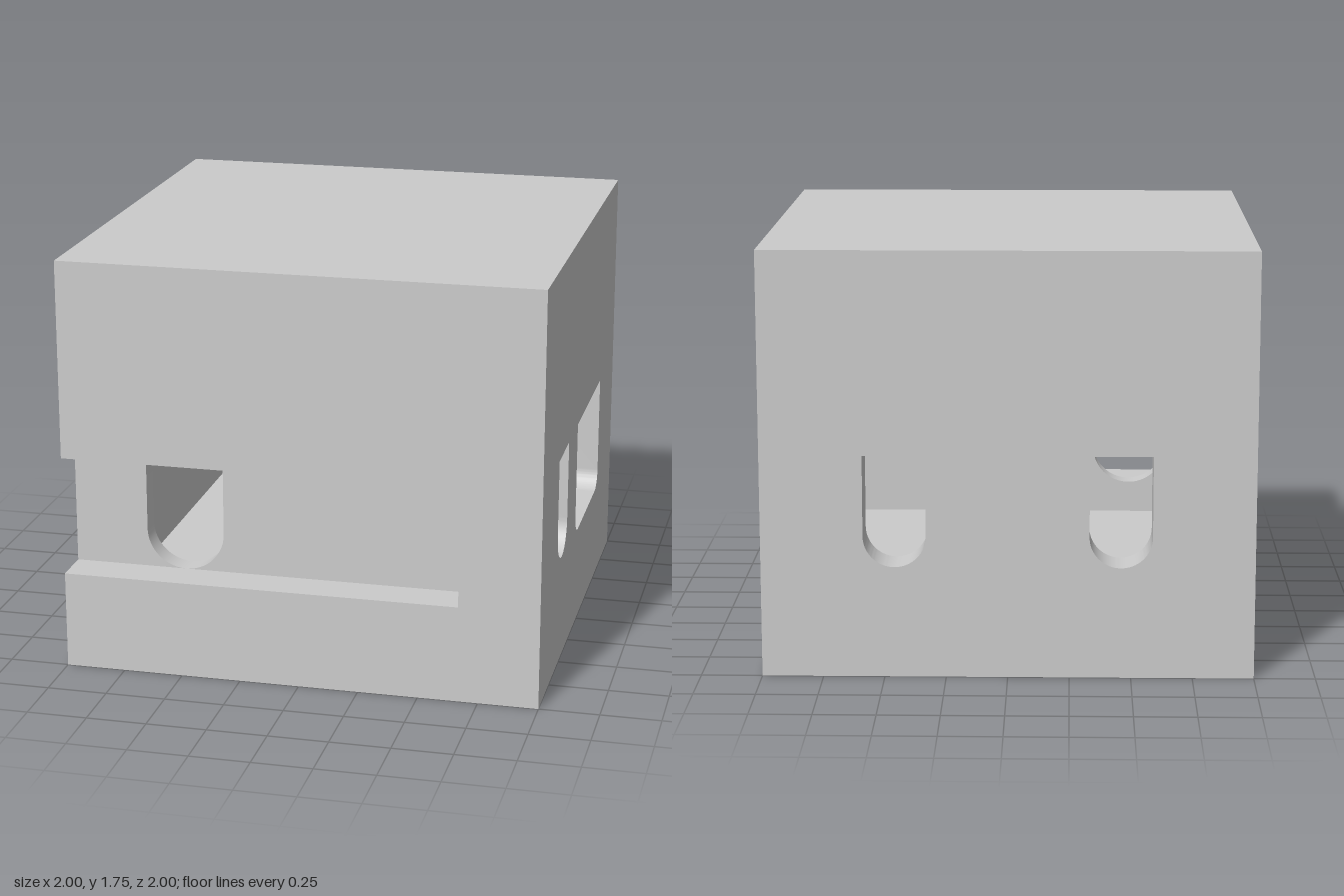
import * as THREE from 'three';
import { toCreasedNormals } from 'three/addons/utils/BufferGeometryUtils.js';

const grey = new THREE.MeshStandardMaterial({ color: 0xcccccc });
const greyBoth = new THREE.MeshStandardMaterial({ color: 0xcccccc, side: THREE.DoubleSide });

const H = 1.75;        // overall height
const INNER = 0.83;    // inside of the back and side walls
const FRONT_IN = 0.74; // inside of the thicker front wall
const FLOOR = 0.27, CEILING = 1.6;
const HEAD = 0.92;     // flat top of the openings

const pts = (list) => list.map(([u, v]) => new THREE.Vector2(u, v));
const rect = (u0, v0, u1, v1) => pts([[u0, v0], [u1, v0], [u1, v1], [u0, v1]]);

// Opening with a flat head and rounded lower corners (a slot when r is half the width)
function opening(u0, u1, bottom, top, r) {
  const s = new THREE.Shape();
  s.moveTo(u0, top);
  s.lineTo(u0, bottom + r);
  s.absarc(u0 + r, bottom + r, r, Math.PI, Math.PI * 1.5, false);
  s.lineTo(u1 - r, bottom);
  s.absarc(u1 - r, bottom + r, r, Math.PI * 1.5, Math.PI * 2, false);
  s.lineTo(u1, top);
  const p = s.getPoints(12);
  return p.filter((q, i) => i === 0 || q.distanceTo(p[i - 1]) > 1e-5);
}
const slot = (u0, u1) => opening(u0, u1, 0.46, HEAD, (u1 - u0) / 2);

function add(group, name, geometry, material) {
  const mesh = new THREE.Mesh(geometry, material);
  mesh.name = name;
  group.add(mesh);
}

// Flat panel at distance n along the wall's outward axis
function panel(group, name, outline, holes, n, inward = false) {
  const shape = new THREE.Shape(outline);
  for (const h of holes) shape.holes.push(new THREE.Path(h));
  const g = new THREE.ShapeGeometry(shape);
  g.translate(0, 0, n);
  if (inward) {
    g.index.array.reverse();
    g.computeVertexNormals();
  }
  add(group, name, g, grey);
}

// Strip along an outline joining two depths
function reveal(group, name, line, n0, n1, closed = true) {
  const pos = [];
  const count = closed ? line.length : line.length - 1;
  for (let i = 0; i < count; i++) {
    const a = line[i], b = line[(i + 1) % line.length];
    pos.push(a.x, a.y, n0, a.x, a.y, n1, b.x, b.y, n1);
    pos.push(a.x, a.y, n0, b.x, b.y, n1, b.x, b.y, n0);
  }
  const g = new THREE.BufferGeometry();
  g.setAttribute('position', new THREE.Float32BufferAttribute(pos, 3));
  add(group, name, toCreasedNormals(g, Math.PI / 6), greyBoth);
}

export function createModel() {
  const model = new THREE.Group();
  model.name = 'hollowBox';
  const wall = (name, rx, ry) => {
    const g = new THREE.Group();
    g.name = name;
    g.rotation.set(rx, ry, 0);
    model.add(g);
    return g;
  };
  const Q = Math.PI / 2;

  // Front wall with a stepped channel running out of one side
  const front = wall('frontWall', 0, 0);
  const channel = pts([[-1, 0.41], [0.665, 0.41], [0.665, 0.66],
    [0.145, 0.66], [-0.28, 0.915], [-1, 0.915]]);
  const frontHole = opening(-0.69, -0.36, 0.41, 0.915, 0.165);
  panel(front, 'frontFace',
    [...pts([[-1, 0], [1, 0], [1, H], [-1, H]]), ...channel.slice().reverse()], [], 1);
  reveal(front, 'channelSides', channel, 1, INNER, false);
  panel(front, 'channelBack', channel, [frontHole], INNER);
  reveal(front, 'frontOpening', frontHole, INNER, FRONT_IN);
  panel(front, 'frontInside', rect(-INNER, FLOOR, INNER, CEILING), [frontHole], FRONT_IN, true);

  // Back and side walls: outer outline, inner extent and openings
  const full = rect(-1, 0, 1, H);
  const notched = pts([[-1, 0], [1, 0], [1, 0.41], [INNER, 0.41],
    [INNER, 0.915], [1, 0.915], [1, H], [-1, H]]);
  const slotA = slot(-0.585, -0.33), slotB = slot(0.33, 0.585);
  const wide = opening(-0.085, 0.585, 0.42, HEAD, 0.08);
  const walls = [
    ['backWall', 2 * Q, full, -INNER, INNER, [slotA, slotB]],
    ['leftWall', Q, full, -FRONT_IN, INNER, [slotA, wide]],
    ['rightWall', -Q, notched, -INNER, FRONT_IN, [slotA]],
  ];
  for (const [name, ry, outline, u0, u1, holes] of walls) {
    const g = wall(name, 0, ry);
    panel(g, name + 'Outside', outline, holes, 1);
    panel(g, name + 'Inside', rect(u0, FLOOR, u1, CEILING), holes, INNER, true);
    for (const h of holes) reveal(g, name + 'Opening', h, 1, INNER);
  }

  // Top slab
  const top = wall('top', -Q, 0);
  panel(top, 'topFace', rect(-1, -1, 1, 1), [], H);
  panel(top, 'ceiling', rect(-INNER, -FRONT_IN, INNER, INNER), [], CEILING, true);

  // Base: rim, shallow recess underneath and inner floor
  const base = wall('base', Q, 0);
  const recess = rect(-0.85, -0.85, 0.85, 0.85);
  panel(base, 'baseRim', rect(-1, -1, 1, 1), [recess], 0);
  reveal(base, 'recessSides', recess, 0, -0.16);
  panel(base, 'recessFace', recess, [], -0.16);
  panel(base, 'innerFloor', rect(-INNER, -INNER, INNER, FRONT_IN), [], -FLOOR, true);

  return model;
}
